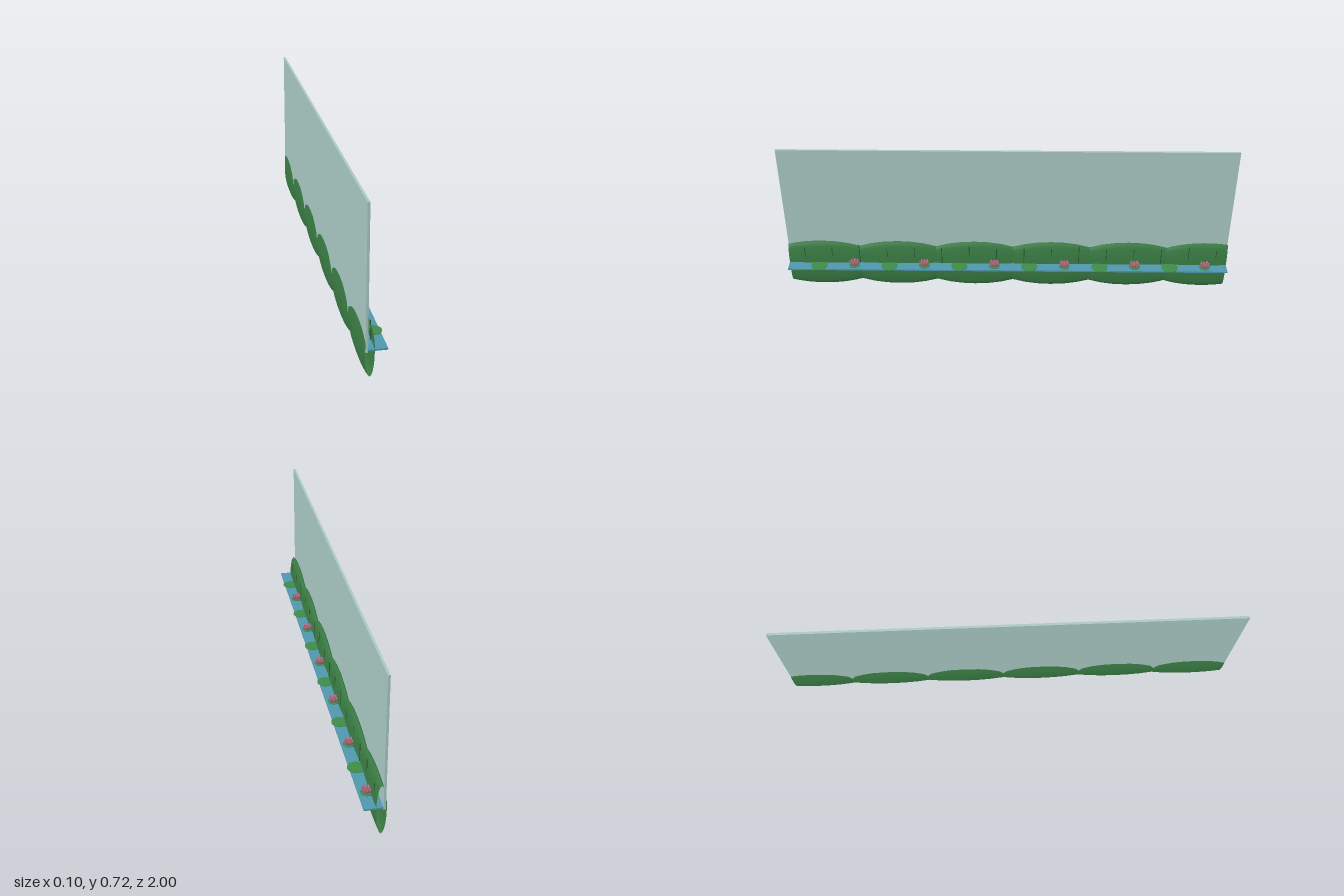
import * as THREE from 'three';

const mat = (name, color, side = THREE.FrontSide) => {
  const m = new THREE.MeshStandardMaterial({ color, side });
  m.name = name;
  return m;
};

export function createModel() {
  const root = new THREE.Group();
  const glass = mat('pale glass', 0xa9c8c3);
  const leaf = mat('hedge green', 0x3a7d44, THREE.DoubleSide);
  const water = mat('water blue', 0x4f97ad);
  const padGreen = mat('pad green', 0x3f8a4a);
  const reedGreen = mat('reed green', 0x2a5a2e);
  const pink = mat('petal pink', 0xb9667f);

  const add = (name, geo, material, x, y, z, parent = root) => {
    const m = new THREE.Mesh(geo, material);
    m.name = name;
    m.position.set(x, y, z);
    parent.add(m);
    return m;
  };

  // upright pane and narrow water ledge
  add('glassPane', new THREE.BoxGeometry(0.01, 0.6, 2), glass, -0.041, 0.425, 0);
  add('waterLedge', new THREE.BoxGeometry(0.076, 0.007, 2), water, 0.002, 0.1335, 0);

  // row of flattened shrubs, cut open where they reach the two ends
  const rz = 0.275;
  for (let i = 0; i < 6; i++) {
    const z = 0.85 - 0.35 * i;
    const start = Math.acos(Math.min(1, (1 - z) / rz));
    const end = Math.acos(Math.max(-1, (-1 - z) / rz));
    const geo = new THREE.SphereGeometry(1, 20, 14, 0, Math.PI * 2, start, end - start);
    geo.rotateX(Math.PI / 2);
    geo.scale(0.022, 0.122, rz);
    geo.computeVertexNormals();
    add('shrub', geo, leaf, -0.029, 0.125, z);
  }

  // thin reeds in front of the shrubs
  for (let i = 0; i < 16; i++) {
    const top = [0.22, 0.222, 0.238, 0.217][i % 4];
    const h = top - 0.11;
    add('reed', new THREE.CylinderGeometry(0.0015, 0.002, h, 6), reedGreen,
      -0.011, 0.11 + h / 2, 0.925 - 0.125 * i);
  }

  // floating pads alternating with flowers
  const padGeo = new THREE.CylinderGeometry(0.037, 0.037, 0.002, 16);
  const smallPadGeo = new THREE.CylinderGeometry(0.025, 0.025, 0.002, 14);
  const petalGeo = new THREE.SphereGeometry(1, 8, 6).scale(0.004, 0.012, 0.006);
  for (let i = 0; i < 6; i++) {
    add('lilyPad', padGeo, padGreen, 0.012, 0.138, 0.86 - 0.32 * i);

    const flower = new THREE.Group();
    flower.name = 'flower';
    flower.position.set(0.007, 0.138, 0.70 - 0.32 * i);
    root.add(flower);
    add('flowerPad', smallPadGeo, padGreen, 0, 0, 0, flower);
    for (const [count, r, tilt] of [[8, 0.016, 0.35], [4, 0.007, 0.12]]) {
      for (let k = 0; k < count; k++) {
        const a = (k / count) * Math.PI * 2;
        const p = add('petal', petalGeo, pink, Math.cos(a) * r, 0.012, -Math.sin(a) * r, flower);
        p.rotation.set(0, a, -tilt);
      }
    }
  }
  return root;
}
